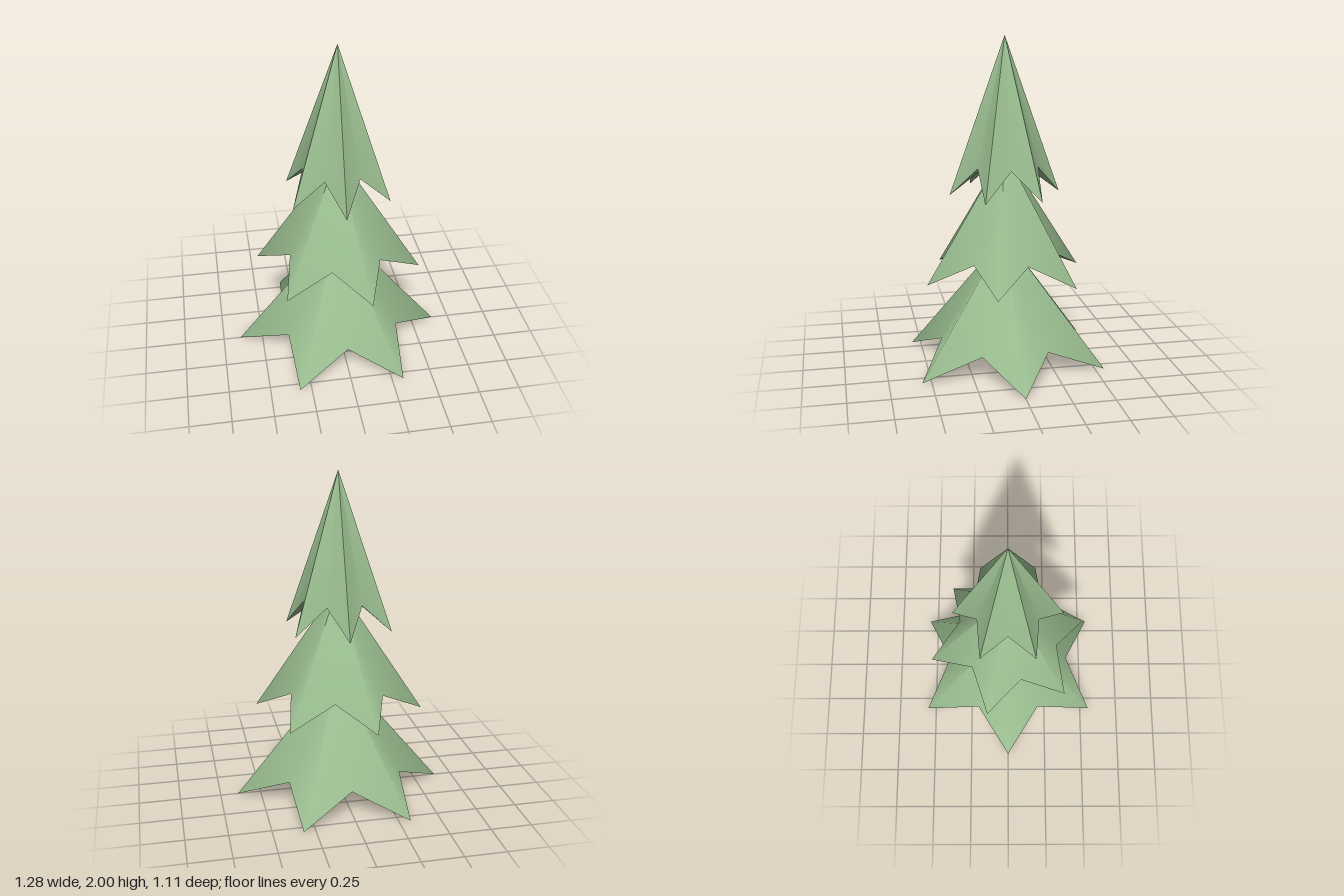
import * as THREE from 'three';
import { toCreasedNormals } from 'three/addons/utils/BufferGeometryUtils.js';

const POINTS = 6;

// Closed star-shaped cone: drooping tips alternate with raised notches around the rim,
// and the underside rises to a hollow in the middle
function starCone({ apex, tipR, tipY, notchR, notchY, hollowY, turn }) {
  const rim = [];
  for (let i = 0; i < POINTS * 2; i++) {
    const a = THREE.MathUtils.degToRad(turn) + (i * Math.PI) / POINTS;
    const r = i % 2 ? notchR : tipR;
    rim.push([r * Math.cos(a), i % 2 ? notchY : tipY, r * Math.sin(a)]);
  }
  const verts = [];
  rim.forEach((p, i) => {
    const next = rim[(i + 1) % rim.length];
    verts.push(0, apex, 0, ...next, ...p); // outer slope
    verts.push(0, hollowY, 0, ...p, ...next); // underside
  });
  const geometry = new THREE.BufferGeometry();
  geometry.setAttribute('position', new THREE.Float32BufferAttribute(verts, 3));
  // Only the rims and the steep ridges of the narrow top tier stay sharp
  return toCreasedNormals(geometry, THREE.MathUtils.degToRad(75));
}

export function createModel() {
  const tree = new THREE.Group();
  tree.name = 'firTree';
  const foliage = new THREE.MeshStandardMaterial({ color: 0x98bb8e });

  // Three tiers of branches, each turned against the one below
  const tiers = {
    bottomBranches: { apex: 0.785, tipR: 0.642, tipY: 0, notchR: 0.4, notchY: 0.145, hollowY: 0.25, turn: 0 },
    middleBranches: { apex: 1.315, tipR: 0.513, tipY: 0.54, notchR: 0.32, notchY: 0.675, hollowY: 0.765, turn: 15 },
    topBranches: { apex: 2, tipR: 0.337, tipY: 1.055, notchR: 0.21, notchY: 1.23, hollowY: 1.31, turn: 30 },
  };
  for (const [name, tier] of Object.entries(tiers)) {
    const mesh = new THREE.Mesh(starCone(tier), foliage);
    mesh.name = name;
    tree.add(mesh);
  }
  return tree;
}
